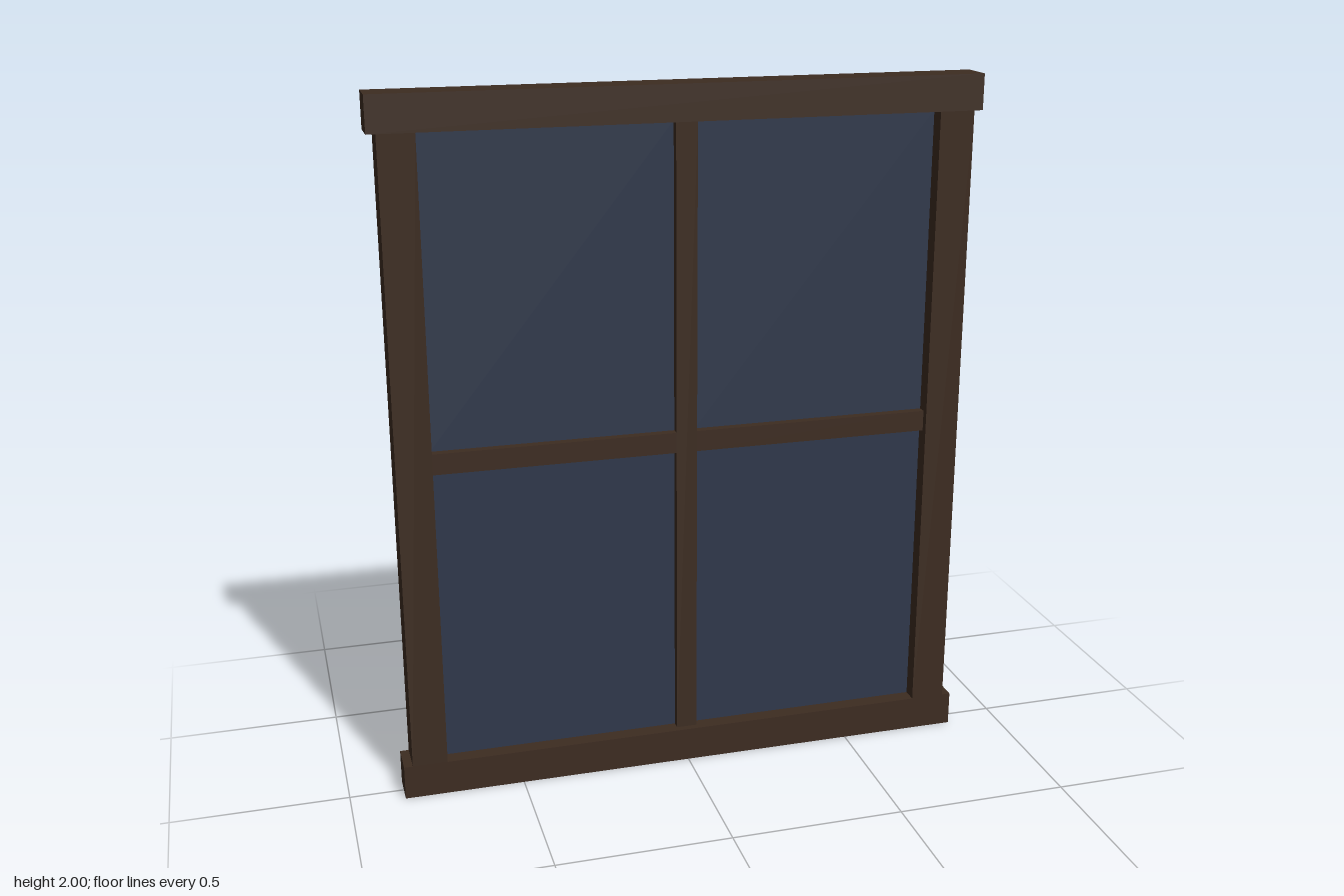
import * as THREE from 'three';

export function createModel() {
  const wood = new THREE.MeshStandardMaterial({ color: 0x3d2c21 });
  wood.name = 'dark wood';
  const glass = new THREE.MeshStandardMaterial({ color: 0x2f384b });
  glass.name = 'dark blue glass';

  const group = new THREE.Group();
  group.name = 'window';

  function box(name, material, [w, h, d], [x, y]) {
    const mesh = new THREE.Mesh(new THREE.BoxGeometry(w, h, d), material);
    mesh.name = name;
    mesh.position.set(x, y, 0);
    group.add(mesh);
  }

  // Outer frame: wide head and sill, with stiles between them
  box('sill', wood, [1.69, 0.1, 0.1], [0, 0.05]);
  box('head', wood, [1.69, 0.1, 0.1], [0, 1.95]);
  for (const [side, s] of [['left', 1], ['right', -1]]) {
    box(side + 'Stile', wood, [0.1, 1.8, 0.1], [s * 0.77, 1]);

    // Horizontal glazing bar, one half on each side of the mullion
    box(side + 'GlazingBar', wood, [0.69, 0.06, 0.06], [s * 0.375, 1]);

    // Upper and lower panes
    for (const [level, t] of [['Upper', 1], ['Lower', -1]]) {
      box(side + level + 'Pane', glass, [0.69, 0.87, 0.01], [s * 0.375, 1 + t * 0.465]);
    }
  }

  // Central vertical bar, set back from the frame
  box('mullion', wood, [0.06, 1.8, 0.06], [0, 1]);

  return group;
}
